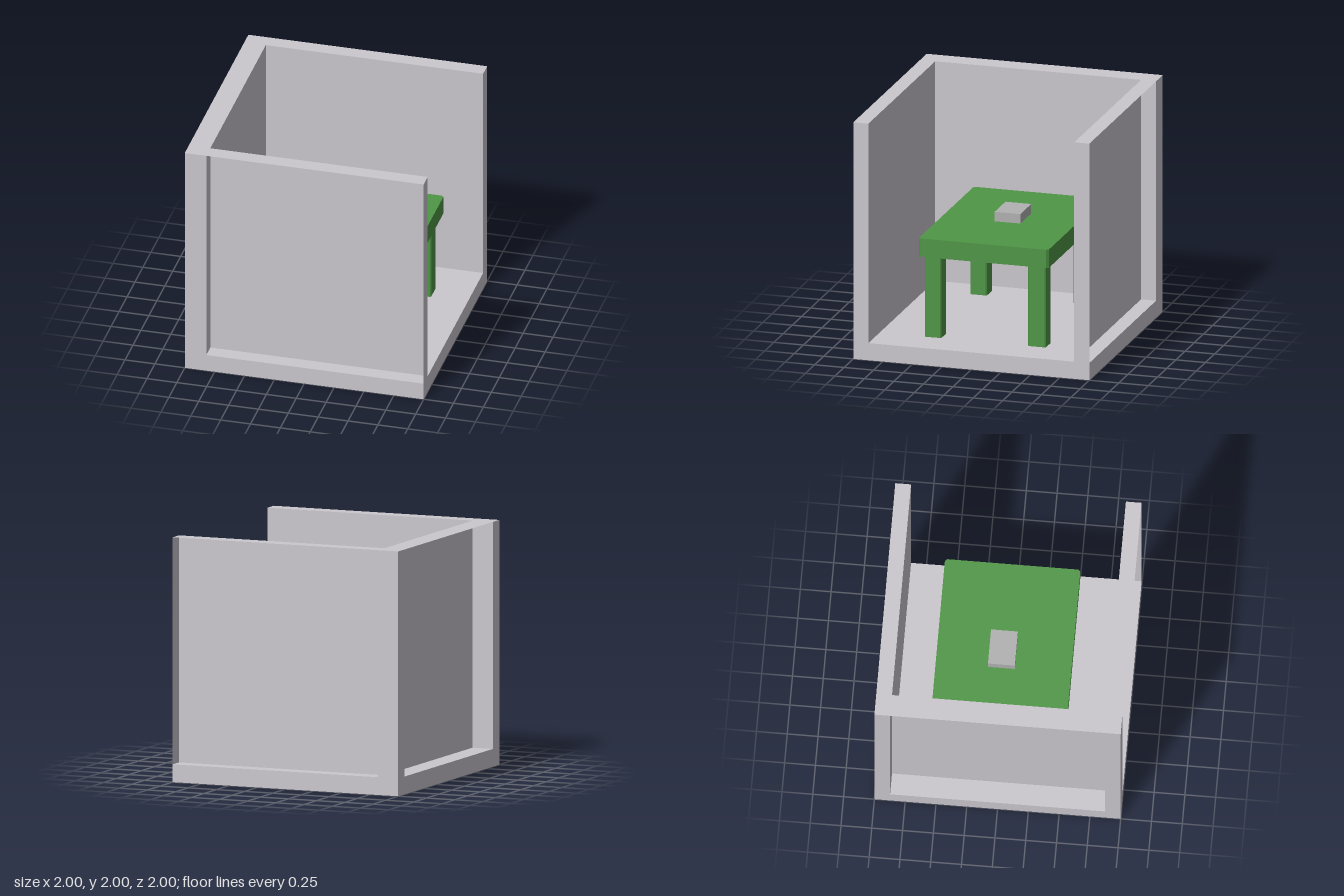
import * as THREE from 'three';

const wallMat = new THREE.MeshStandardMaterial({ color: 0xcac7cd, side: THREE.DoubleSide, flatShading: true });
const tableMat = new THREE.MeshStandardMaterial({ color: 0x4f9646, flatShading: true });
const boxMat = new THREE.MeshStandardMaterial({ color: 0xb1b1b1, flatShading: true });

// Box, or a thin sheet when one extent is zero, given by its limits
function block(name, mat, [x0, x1], [y0, y1], [z0, z1]) {
  const size = [x1 - x0, y1 - y0, z1 - z0];
  let geo;
  if (size[0] === 0) geo = new THREE.PlaneGeometry(size[2], size[1]).rotateY(Math.PI / 2);
  else if (size[1] === 0) geo = new THREE.PlaneGeometry(size[0], size[2]).rotateX(-Math.PI / 2);
  else if (size[2] === 0) geo = new THREE.PlaneGeometry(size[0], size[1]);
  else geo = new THREE.BoxGeometry(...size);
  const mesh = new THREE.Mesh(geo, mat);
  mesh.name = name;
  mesh.position.set((x0 + x1) / 2, (y0 + y1) / 2, (z0 + z1) / 2);
  return mesh;
}

// Upright slab with its four vertical edges cut off
function chamfered(name, mat, [x0, x1], [y0, y1], [z0, z1], c) {
  const a = (x1 - x0) / 2, b = (z1 - z0) / 2;
  const shape = new THREE.Shape([
    [a - c, -b], [a, c - b], [a, b - c], [a - c, b],
    [c - a, b], [-a, b - c], [-a, c - b], [c - a, -b],
  ].map(([x, y]) => new THREE.Vector2(x, y)));
  const geo = new THREE.ExtrudeGeometry(shape, { depth: y1 - y0, bevelEnabled: false }).rotateX(-Math.PI / 2);
  const mesh = new THREE.Mesh(geo, mat);
  mesh.name = name;
  mesh.position.set((x0 + x1) / 2, y0, (z0 + z1) / 2);
  return mesh;
}

export function createModel() {
  const model = new THREE.Group();
  const L = -0.82, F = 0.145, S = 0.872; // side panel x, floor y, front and back panel z

  const room = new THREE.Group();
  room.name = 'room';
  model.add(room);

  // Front and back: corner post, bottom rail, recessed panel, top rim and open end
  for (const s of [1, -1]) {
    const side = s > 0 ? 'front' : 'back';
    const depth = s > 0 ? [S, 1] : [-1, -S];
    room.add(
      block(side + 'Post', wallMat, [-1, L], [F, 2], depth),
      block(side + 'Rail', wallMat, [-1, 1], [0, F], depth),
      block(side + 'Wall', wallMat, [L, 1], [F, 2], [s * S, s * S]),
      block(side + 'TopRim', wallMat, [L, 1], [2, 2], depth),
      block(side + 'EndRim', wallMat, [1, 1], [F, 2], depth),
    );
  }
  // Closed side, floor and the threshold at the open side
  room.add(
    block('sideRail', wallMat, [-1, L], [0, F], [-S, S]),
    block('sideWall', wallMat, [L, L], [F, 2], [-S, S]),
    block('sideTopRim', wallMat, [-1, L], [2, 2], [-S, S]),
    block('floor', wallMat, [L, 1], [F, F], [-S, S]),
    block('threshold', wallMat, [1, 1], [0, F], [-S, S]),
  );

  // Table, its legs passing through the floor
  const table = new THREE.Group();
  table.name = 'table';
  table.add(chamfered('tableTop', tableMat, [-0.755, 0.75], [0.835, 0.99], [-0.575, 0.525], 0.018));
  for (const x of [-0.62, 0.62]) {
    for (const z of [[0.35, 0.492], [-0.535, -0.383]]) {
      table.add(chamfered('tableLeg', tableMat, [x - 0.073, x + 0.073], [0.02, 0.835], z, 0.01));
    }
  }
  model.add(table);

  // Small box on the table
  model.add(block('smallBox', boxMat, [-0.15, 0.145], [1.0, 1.08], [-0.15, 0.068]));
  return model;
}
